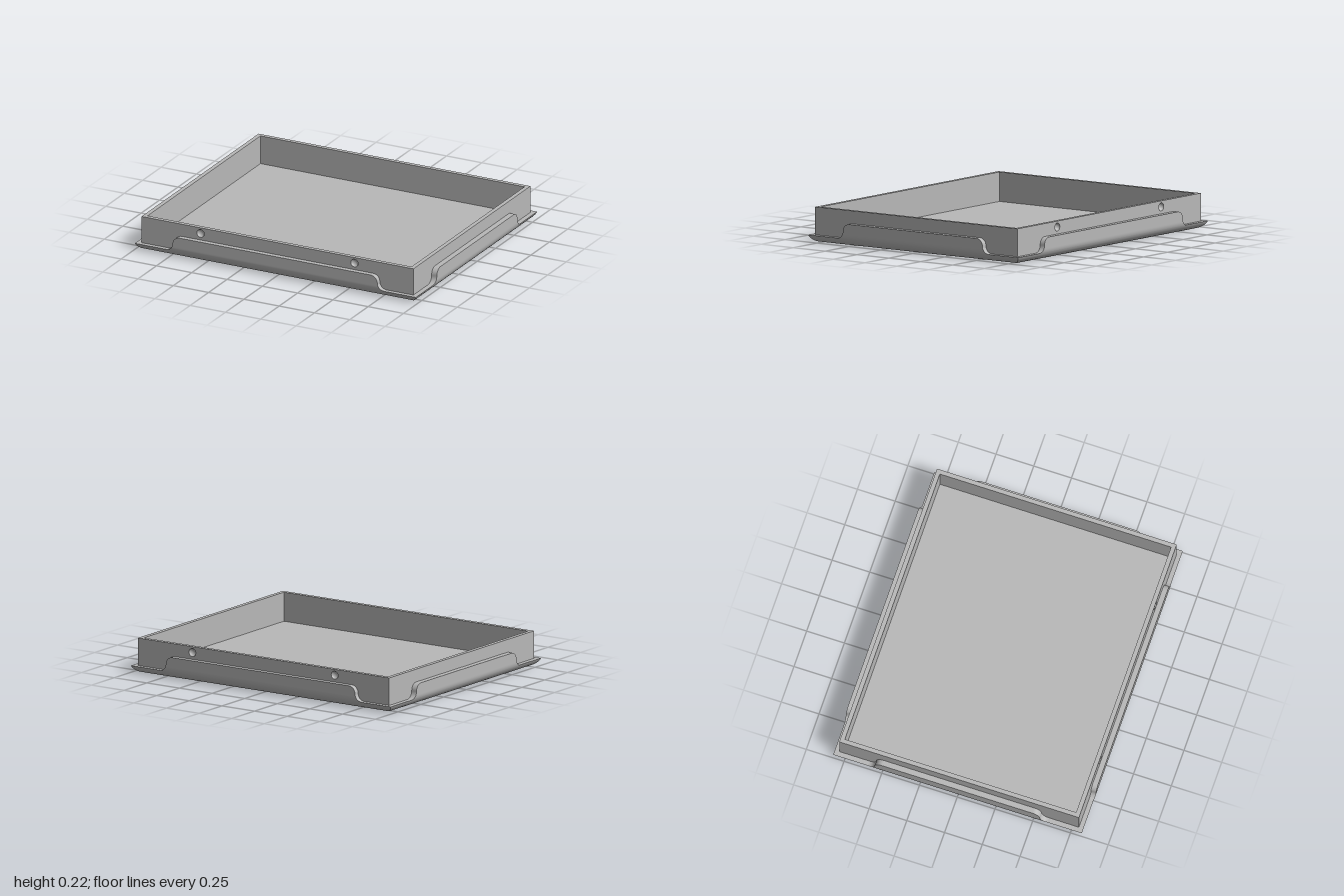
import * as THREE from 'three';

const HX = 1, HZ = 0.828;          // outer half size of the base
const WX = 0.963, WZ = 0.794;      // outer half size of the walls
const T = 0.028, TOP = 0.222;      // wall thickness and top
const R = 0.07, LEDGE = 0.045, FLOOR = 0.035, TAB_TOP = 0.14;
const DIMPLE_X = 0.545, DIMPLE_Y = 0.184, DIMPLE_R = 0.026;

const grey = new THREE.MeshStandardMaterial({ color: 0xb8b8b8, side: THREE.DoubleSide });

function add(group, name, geometry) {
  const mesh = new THREE.Mesh(geometry, grey);
  mesh.name = name;
  group.add(mesh);
  return mesh;
}

// Surface between a left and a right polyline, both rising
function loft(a, b) {
  const pos = [], index = [];
  a.forEach((p, i) => {
    pos.push(...p, ...b[i]);
    if (i) {
      const k = 2 * i;
      index.push(k - 2, k - 1, k + 1, k - 2, k + 1, k);
    }
  });
  const g = new THREE.BufferGeometry();
  g.setAttribute('position', new THREE.Float32BufferAttribute(pos, 3));
  g.setIndex(index);
  g.computeVertexNormals();
  return g;
}

// Horizontal offset of the rounded lower edge at height y
const offset = y => (y < R ? Math.sqrt(R * R - (R - y) ** 2) - R : 0);

// Rounded base edge and raised tab of one side, facing +z
function makeSide(half, depth, inner, tabHalf) {
  const side = new THREE.Group();

  const left = [], right = [];
  const end = Math.acos((R - LEDGE) / R);
  for (let i = 0; i <= 10; i++) {
    const y = R - R * Math.cos(end * i / 10), o = offset(y);
    left.push([-half - o, y, depth + o]);
    right.push([half + o, y, depth + o]);
  }
  add(side, 'roundedEdge', loft(left, right));

  // S-shaped tab ends: flare at the foot, round at the top
  const r = (TAB_TOP - LEDGE) / 2, rows = [];
  for (let i = 0; i <= 10; i++) {
    const t = i / 10 * Math.PI / 2;
    rows.push([tabHalf + r - r * Math.sin(t), LEDGE + r - r * Math.cos(t)]);
  }
  for (let i = 1; i <= 10; i++) {
    const t = i / 10 * Math.PI / 2;
    rows.push([tabHalf - r + r * Math.cos(t), TAB_TOP - r + r * Math.sin(t)]);
  }
  const outer = s => rows.map(([w, y]) => [s * w, y, depth + offset(y)]);
  const back = s => rows.map(([w, y]) => [s * w, y, inner]);
  add(side, 'tabFace', loft(outer(-1), outer(1)));
  add(side, 'tabRightEnd', loft(outer(1), back(1)));
  add(side, 'tabLeftEnd', loft(back(-1), outer(-1)));
  const w = tabHalf - r;
  add(side, 'tabTop', loft(
    [[-w, TAB_TOP, depth], [-w, TAB_TOP, inner]],
    [[w, TAB_TOP, depth], [w, TAB_TOP, inner]]));
  return side;
}

function rectangle(Type, x, y) {
  const s = new Type();
  s.moveTo(-x, -y).lineTo(x, -y).lineTo(x, y).lineTo(-x, y).closePath();
  return s;
}

// Long wall facing +z, with two blind round dimples
function makeLongWall() {
  const wall = new THREE.Group();
  const skin = 0.022;
  const shape = new THREE.Shape();
  shape.moveTo(-WX, FLOOR).lineTo(WX, FLOOR).lineTo(WX, TOP).lineTo(-WX, TOP).closePath();
  for (const s of [-1, 1]) {
    const hole = new THREE.Path();
    hole.absarc(s * DIMPLE_X, DIMPLE_Y, DIMPLE_R, 0, Math.PI * 2, true);
    shape.holes.push(hole);
  }
  add(wall, 'wallFace', new THREE.ExtrudeGeometry(shape, { depth: skin, bevelEnabled: false, curveSegments: 16 }))
    .position.z = WZ - skin;
  add(wall, 'wallLining', new THREE.BoxGeometry(2 * WX, TOP - FLOOR, T - skin))
    .position.set(0, (TOP + FLOOR) / 2, WZ - T + (T - skin) / 2);

  const profile = [];
  for (let i = 0; i <= 8; i++) {
    const t = i / 8 * Math.PI / 2;
    profile.push(new THREE.Vector2(DIMPLE_R * Math.sin(t), -0.021 * Math.cos(t)));
  }
  for (const s of [-1, 1]) {
    const bowl = add(wall, 'dimple', new THREE.LatheGeometry(profile, 32));
    bowl.rotation.x = Math.PI / 2;
    bowl.position.set(s * DIMPLE_X, DIMPLE_Y, WZ);
  }
  return wall;
}

export function createModel() {
  const tray = new THREE.Group();
  tray.name = 'tray';

  // Base edges, tabs and long walls
  for (let i = 0; i < 4; i++) {
    const long = i % 2 === 0;
    const side = long ? makeSide(HX, HZ, WZ, 0.725) : makeSide(HZ, HX, WX, 0.547);
    side.name = long ? 'longBaseSide' : 'shortBaseSide';
    side.rotation.y = i * Math.PI / 2;
    tray.add(side);
    if (long) {
      const wall = makeLongWall();
      wall.name = 'longWall';
      wall.rotation.y = i * Math.PI / 2;
      tray.add(wall);
    }
  }

  // Short walls between the long ones
  for (const s of [-1, 1]) {
    add(tray, 'shortWall', new THREE.BoxGeometry(T, TOP - FLOOR, 2 * (WZ - T)))
      .position.set(s * (WX - T / 2), (TOP + FLOOR) / 2, 0);
  }

  // Ledge around the walls
  const o = offset(LEDGE);
  const ring = rectangle(THREE.Shape, HX + o, HZ + o);
  ring.holes.push(rectangle(THREE.Path, WX, WZ));
  const ledge = add(tray, 'ledge', new THREE.ShapeGeometry(ring));
  ledge.rotation.x = -Math.PI / 2;
  ledge.position.y = LEDGE;

  // Inner floor and underside
  const floor = add(tray, 'floor', new THREE.PlaneGeometry(2 * (WX - T), 2 * (WZ - T)));
  floor.rotation.x = -Math.PI / 2;
  floor.position.y = FLOOR;
  const underside = add(tray, 'underside', new THREE.PlaneGeometry(2 * (HX - R), 2 * (HZ - R)));
  underside.rotation.x = Math.PI / 2;

  return tray;
}
